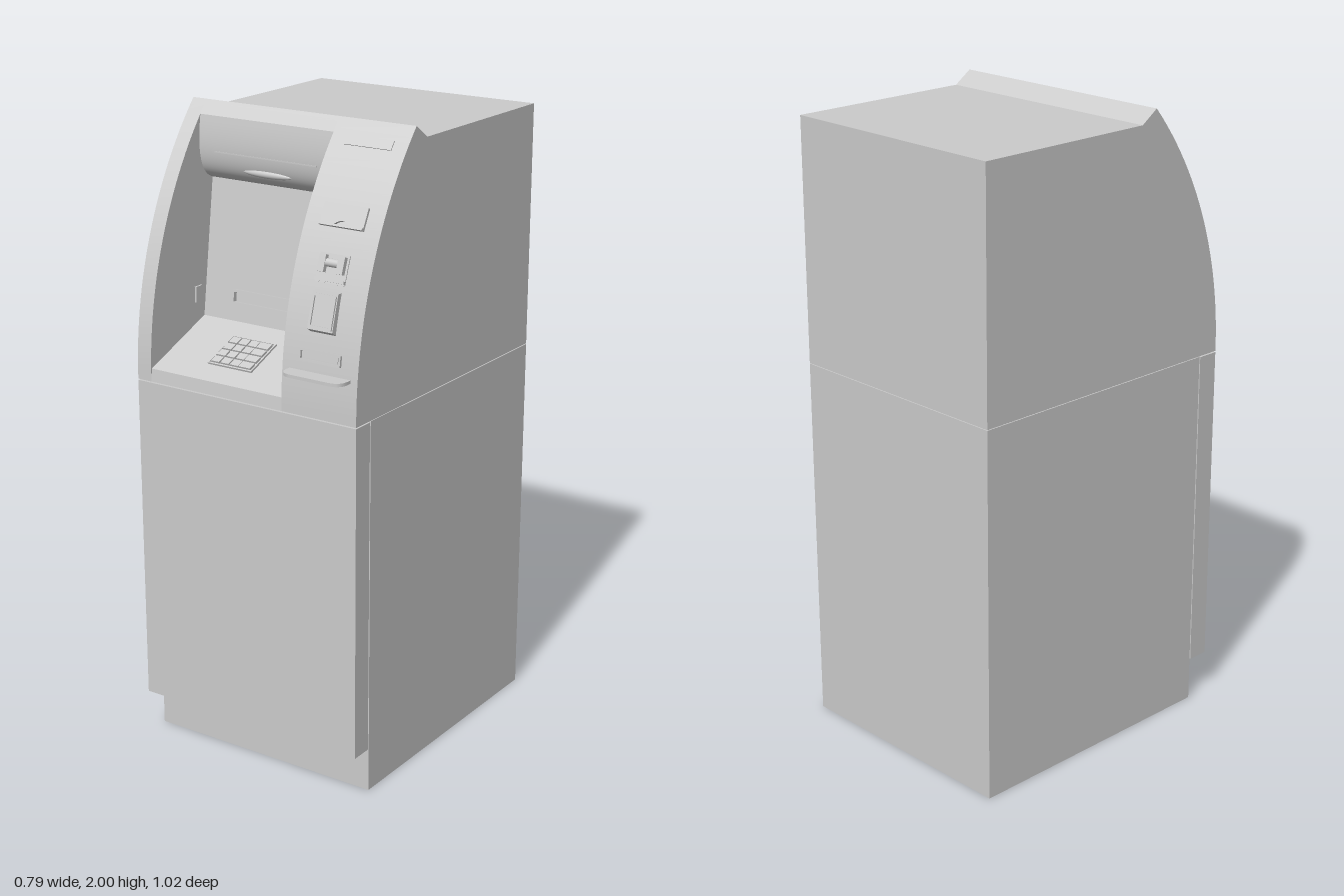
import * as THREE from 'three';
import { toCreasedNormals } from 'three/addons/utils/BufferGeometryUtils.js';

const W = 0.396;                    // half width
const SEAM = 1.19;                  // top of the lower cabinet
const L = -0.345, R = 0.137;        // sides of the recess
const ARC_Y = 1.2, OUTER = 1.217, INNER = 1.147, ARC_Z = 0.465 - OUTER;
const SHELF = [[0.461, 1.23], [0.2, 1.335]];
const WALL = [[0.2, 1.335], [0.145, 1.76]];
const mat = new THREE.MeshStandardMaterial({ color: 0xcccccc });

// z of the curved front at height y
const arcZ = (y, r = OUTER) => ARC_Z + Math.sqrt(r * r - Math.max(0, y - ARC_Y) ** 2);

// [z, y] points along the curved front
function arc(y0, y1, r = OUTER, n = 28) {
  return Array.from({ length: n + 1 }, (_, i) => {
    const y = y0 + (y1 - y0) * i / n;
    return [arcZ(y, r), y];
  });
}

// side profile of [z, y] points, extruded from x0 to x1
function strip(points, x0, x1) {
  const shape = new THREE.Shape(points.map(p => new THREE.Vector2(p[0], p[1])));
  const g = new THREE.ExtrudeGeometry(shape, { depth: x1 - x0, bevelEnabled: false });
  g.rotateY(-Math.PI / 2).translate(x1, 0, 0);
  return toCreasedNormals(g, 0.4);
}

// rounded rectangle centred on the origin
function roundRect(w, h, r, Kind = THREE.Shape) {
  const s = new Kind(), a = w / 2, b = h / 2;
  s.moveTo(-a + r, -b).lineTo(a - r, -b).quadraticCurveTo(a, -b, a, -b + r);
  s.lineTo(a, b - r).quadraticCurveTo(a, b, a - r, b);
  s.lineTo(-a + r, b).quadraticCurveTo(-a, b, -a, b - r);
  s.lineTo(-a, -b + r).quadraticCurveTo(-a, -b, -a + r, -b);
  return s;
}

const plate = (shape, depth) =>
  new THREE.ExtrudeGeometry(shape, { depth, bevelEnabled: false, curveSegments: 8 });

// rectangular frame with border t
function frame(w, h, t, depth) {
  const s = roundRect(w, h, t / 2);
  s.holes.push(roundRect(w - 2 * t, h - 2 * t, t / 4, THREE.Path));
  return plate(s, depth);
}

export function createModel() {
  const model = new THREE.Group();
  const add = (name, geo, parent = model) => {
    const m = new THREE.Mesh(geo, mat);
    m.name = name;
    parent.add(m);
    return m;
  };
  const box = (w, h, d) => new THREE.BoxGeometry(w, h, d);

  // group lying on a surface at height y, its +z pointing out of the surface
  function mount(name, x, y, surface) {
    const g = new THREE.Group();
    g.name = name;
    if (surface) {
      const [[z0, y0], [z1, y1]] = surface;
      g.position.set(x, y, z0 + (z1 - z0) * (y - y0) / (y1 - y0));
      g.rotation.x = -Math.atan2(z0 - z1, y1 - y0);
    } else {
      g.position.set(x, y, arcZ(y));
      g.rotation.x = -Math.asin((y - ARC_Y) / OUTER);
    }
    model.add(g);
    return g;
  }

  // lower cabinet and door
  add('lowerCabinet', box(2 * W, SEAM - 0.002, 0.902)).position.set(0, SEAM / 2 - 0.001, -0.061);
  add('door', box(2 * W, 1.046, 0.071)).position.set(0, 0.663, 0.4295);

  // upper housing and curved fascia on either side of the recess
  const housing = [[-0.512, SEAM], ...arc(SEAM, 1.96, INNER), [-0.512, 1.96]];
  const band = [...arc(SEAM, 2), ...arc(SEAM, 1.96, INNER).reverse()];
  for (const [side, x0, x1] of [['right', -W, L], ['left', R, W]]) {
    add(side + 'Housing', strip(housing, x0, x1));
    add(side + 'Fascia', strip(band, x0, x1));
  }

  // middle section: visor, display wall and sloping shelf
  const visor = new THREE.QuadraticBezierCurve(
    new THREE.Vector2(arcZ(1.96), 1.96), new THREE.Vector2(0.228, 1.785), new THREE.Vector2(...WALL[1]));
  const visorPts = visor.getPoints(20).map(p => [p.x, p.y]);
  add('recessedHousing', strip([
    [-0.512, SEAM], [0.465, SEAM], ...SHELF, ...visorPts.reverse(),
    ...arc(1.97, 2, OUTER, 3), [arcZ(1.96, INNER), 1.96], [-0.512, 1.96]], L, R));

  // visor seam and camera lens
  const mid = (L + R) / 2;
  add('visorTrim', box(0.37, 0.004, 0.006)).position.set(mid, 1.853, 0.203);
  const lens = add('cameraLens', new THREE.SphereGeometry(1, 24, 12));
  lens.scale.set(0.09, 0.012, 0.012);
  lens.position.set(mid, 1.803, 0.19);

  // display on the back wall
  const screen = mount('display', mid, 1.635, WALL);
  add('displayPanel', box(0.35, 0.25, 0.006), screen);

  // cash slot
  const cash = mount('cashSlot', mid, 1.411, WALL);
  add('cashSlotFrame', frame(0.26, 0.045, 0.007, 0.014), cash);
  add('cashShutter', box(0.24, 0.028, 0.006), cash);

  // little lamps on the recess sides
  for (const x of [L + 0.003, R - 0.003])
    add('sideLamp', box(0.006, 0.05, 0.03)).position.set(x, 1.41, 0.23);

  // keypad
  const pad = mount('keypad', -0.103, 1.283, SHELF);
  add('keypadFrame', frame(0.162, 0.14, 0.005, 0.006), pad);
  for (let row = 0; row < 4; row++)
    for (let col = 0; col < 4; col++) {
      const wide = col === 3;
      add('key', box(wide ? 0.042 : 0.03, 0.026, 0.01), pad)
        .position.set(wide ? 0.05 : -0.058 + col * 0.035, -0.048 + row * 0.032, 0.003);
    }

  // label plate at the top of the side panel
  const px = 0.267;
  add('topPlate', box(0.16, 0.03, 0.006), mount('topPlateMount', px, 1.945));

  // receipt outlet: hood with a finger notch
  const receipt = mount('receiptOutlet', px, 1.758);
  const hood = new THREE.Shape();
  hood.moveTo(-0.074, -0.03).lineTo(-0.025, -0.03).quadraticCurveTo(0, -0.006, 0.025, -0.03);
  hood.lineTo(0.074, -0.03).lineTo(0.074, 0.03).lineTo(-0.074, 0.03);
  add('receiptHood', plate(hood, 0.008), receipt);
  add('receiptLip', box(0.148, 0.006, 0.022), receipt).position.set(0, -0.034, 0.004);

  // card reader: hooded mouth between two cheeks
  const card = mount('cardReader', px, 1.617);
  add('cardPlate', box(0.1, 0.085, 0.006), card);
  for (const s of [-1, 1])
    add('cardCheek', box(0.022, 0.05, 0.022), card).position.set(s * 0.032, 0.012, 0.006);
  const roll = add('cardMouth', new THREE.CylinderGeometry(0.012, 0.012, 0.044, 16), card);
  roll.rotation.z = Math.PI / 2;
  roll.position.set(0, 0.016, 0.004);
  add('cardLip', box(0.1, 0.008, 0.014), card).position.set(0, -0.034, 0.004);

  // protruding reader block with a framed face
  add('readerBlock', strip([[0.39, 1.558], [0.428, 1.558], [0.459, 1.452], [0.438, 1.438], [0.4, 1.438]],
    0.224, 0.31));
  const face = mount('readerFace', px, 1.504, [[0.459, 1.452], [0.428, 1.558]]);
  add('readerFrame', frame(0.08, 0.1, 0.008, 0.005), face);

  // deposit slot
  const slot = mount('depositSlot', px, 1.372);
  add('depositFrame', frame(0.142, 0.036, 0.006, 0.008), slot);
  add('depositFlap', box(0.12, 0.018, 0.006), slot);

  // small tray with rounded front corners
  const tray = plate(roundRect(0.21, 0.16, 0.04), 0.01);
  tray.rotateX(-Math.PI / 2);
  add('tray', toCreasedNormals(tray, 0.5)).position.set(px, 1.315, 0.432);

  return model;
}
